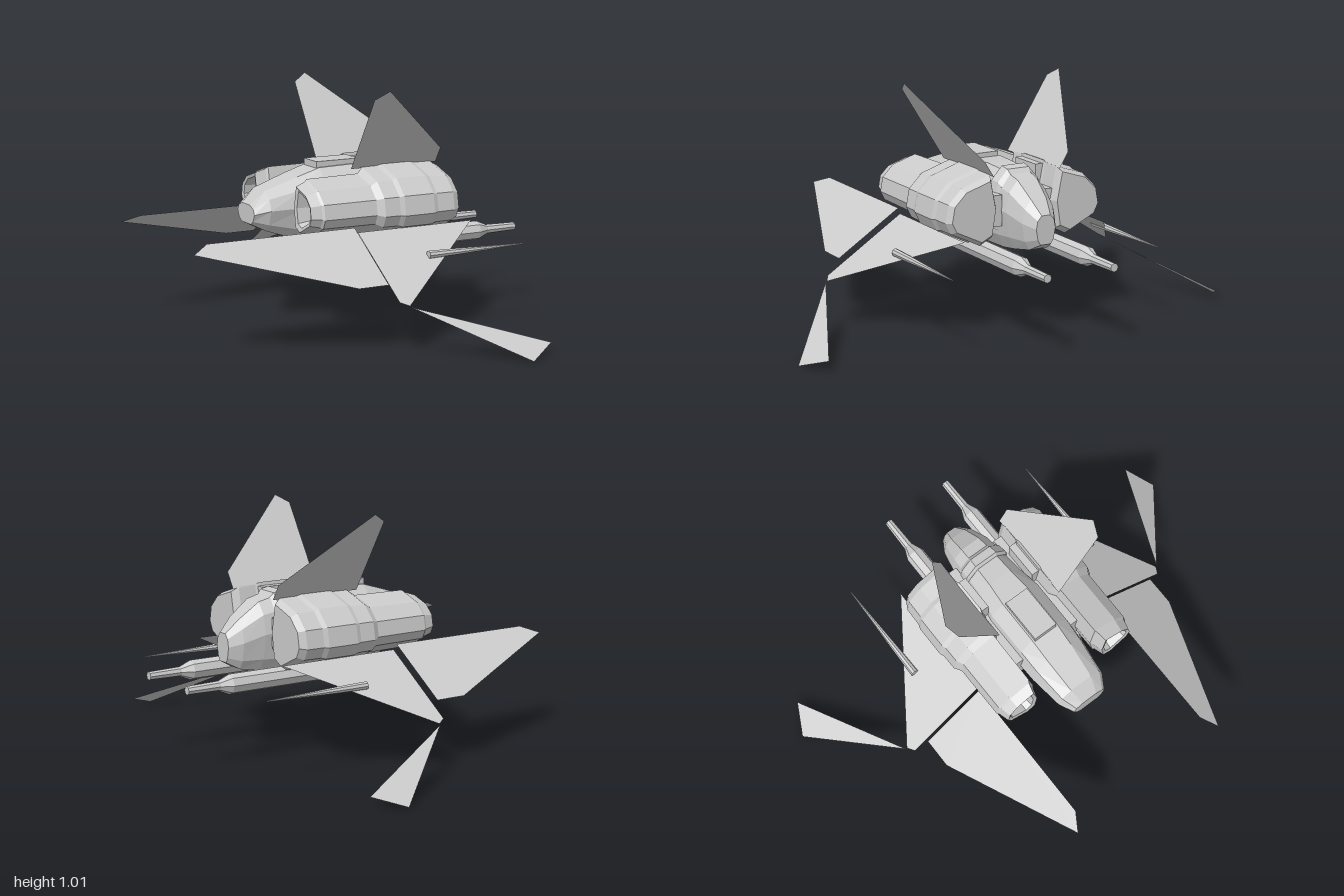
import * as THREE from 'three';

const solid = new THREE.MeshStandardMaterial({ color: 0xcccccc, flatShading: true });
const sheet = new THREE.MeshStandardMaterial({ color: 0xcccccc, flatShading: true, side: THREE.DoubleSide });

// Skin over rings of [x, y, z] points, closed at both ends; side -1 mirrors in z
function loft(rings, side = 1) {
  const n = rings[0].length;
  const pos = [];
  const index = [];
  const tri = (a, b, c) => (side > 0 ? index.push(a, b, c) : index.push(a, c, b));
  rings.forEach((ring) => ring.forEach(([x, y, z]) => pos.push(x, y, z * side)));
  for (let r = 0; r < rings.length - 1; r++) {
    for (let i = 0; i < n; i++) {
      const j = (i + 1) % n;
      const a = r * n + i, b = r * n + j;
      tri(a, b, a + n);
      tri(b, b + n, a + n);
    }
  }
  const last = (rings.length - 1) * n;
  for (let i = 1; i < n - 1; i++) {
    tri(0, i + 1, i);
    tri(last, last + i, last + i + 1);
  }
  const geo = new THREE.BufferGeometry();
  geo.setAttribute('position', new THREE.Float32BufferAttribute(pos, 3));
  geo.setIndex(index);
  geo.computeVertexNormals();
  return geo;
}

// Flat plate from corner points [x, y, z]
function plate(corners, side) {
  const geo = new THREE.BufferGeometry();
  const index = [];
  for (let i = 1; i < corners.length - 1; i++) index.push(0, i, i + 1);
  geo.setAttribute('position', new THREE.Float32BufferAttribute(corners.flatMap(([x, y, z]) => [x, y, z * side]), 3));
  geo.setIndex(index);
  geo.computeVertexNormals();
  return geo;
}

// Turned part along x from [x, radius] pairs
function turned(profile, sides, y, z) {
  const geo = new THREE.LatheGeometry(profile.map(([x, r]) => new THREE.Vector2(r, x)), sides);
  return geo.rotateZ(-Math.PI / 2).translate(0, y, z);
}

function box(x0, x1, y0, y1, z0, z1) {
  return new THREE.BoxGeometry(x1 - x0, y1 - y0, z1 - z0)
    .translate((x0 + x1) / 2, (y0 + y1) / 2, (z0 + z1) / 2);
}

// Fuselage section: [height fraction, width fraction], top to bottom
const half = [[1, 0.45], [0.83, 0.85], [0.55, 1], [0.18, 0.82], [0, 0.55]];
const bodySection = [...half, ...half.map(([v, u]) => [v, -u]).reverse()];
const bodyRing = ([x, w, y0, y1]) => bodySection.map(([v, u]) => [x, y0 + v * (y1 - y0), u * w]);

// Engine pod section [y, z], scaled about its middle
const podSection = [
  [0.68, 0.15], [0.635, 0.29], [0.57, 0.355], [0.49, 0.37],
  [0.44, 0.345], [0.37, 0.2], [0.4, 0.14], [0.53, 0.12],
];
const podRing = ([x, k]) => podSection.map(([y, z]) => [x, 0.53 + (y - 0.53) * k, 0.25 + (z - 0.25) * k]);

export function createModel() {
  const model = new THREE.Group();
  const add = (name, geo, mat = solid) => {
    const mesh = new THREE.Mesh(geo, mat);
    mesh.name = name;
    model.add(mesh);
  };

  // Hull: tail to nose
  add('fuselage', loft([
    [-0.41, 0.08, 0.45, 0.53], [-0.35, 0.115, 0.42, 0.585], [-0.2, 0.135, 0.37, 0.635],
    [-0.1, 0.14, 0.35, 0.665], [0.1, 0.14, 0.345, 0.67], [0.2, 0.12, 0.345, 0.67],
    [0.33, 0.108, 0.345, 0.66], [0.41, 0.1, 0.355, 0.64], [0.5, 0.078, 0.37, 0.575],
    [0.555, 0.045, 0.4, 0.52],
  ].map(bodyRing)));
  add('spineHatch', box(-0.11, 0.09, 0.64, 0.69, -0.055, 0.055));
  add('canopyCollar', loft([
    [0.29, 0.108, 0.38, 0.665], [0.3, 0.118, 0.37, 0.68], [0.34, 0.113, 0.37, 0.672], [0.36, 0.1, 0.38, 0.65],
  ].map(bodyRing)));

  for (const side of [1, -1]) {
    const label = side > 0 ? 'left' : 'right';
    const mirrorBox = (x0, x1, y0, y1, z0, z1) =>
      box(x0, x1, y0, y1, Math.min(z0 * side, z1 * side), Math.max(z0 * side, z1 * side));

    // Engine: hollow nozzle, rear barrel, wider front cowl with a raised band
    add(label + 'EnginePod', loft([
      [-0.2, 0.4], [-0.27, 0.48], [-0.275, 0.6], [-0.23, 0.7], [-0.22, 0.76],
      [0.02, 0.78], [0.05, 0.93], [0.12, 0.94], [0.14, 1], [0.28, 1],
      [0.3, 0.94], [0.38, 0.93], [0.41, 0.8],
    ].map(podRing), side));

    // Links between engine and fuselage
    add(label + 'EngineMount', mirrorBox(-0.12, 0.38, 0.45, 0.58, 0.1, 0.18));
    add(label + 'MountBlock', mirrorBox(0.13, 0.29, 0.58, 0.665, 0.115, 0.16));

    // Swept plates
    add(label + 'UpperFin', plate([
      [0, 0.665], [0.41, 0.665], [0.41, 0.73], [0.06, 1.01], [0, 0.975],
    ].map(([x, y]) => [x, y, 0.155 + (y - 0.665) * 0.63]), side), sheet);
    add(label + 'RearWing', plate([
      [-0.08, 0.33], [-0.74, 0.33], [-0.815, 0.375], [-0.215, 0.61], [-0.08, 0.61],
    ].map(([x, z]) => [x, 0.455 - (z - 0.33) * 0.645, z]), side), sheet);
    add(label + 'FrontWing', plate([
      [-0.065, 0.33], [0.48, 0.33], [-0.03, 0.69], [-0.065, 0.67],
    ].map(([x, z]) => [x, (1 - z) * 0.648, z]), side), sheet);
    add(label + 'WingTip', plate([
      [-0.03, 0.695], [0.48, 0.93], [0.35, 1],
    ].map(([x, z]) => [x, (1 - z) * 0.648, z]), side), sheet);

    // Guns
    add(label + 'Cannon', turned([
      [-0.14, 0], [-0.14, 0.025], [-0.1, 0.042], [0.62, 0.042], [0.67, 0.021], [0.815, 0.018], [0.815, 0],
    ], 8, 0.345, 0.155 * side));
    add(label + 'WingNeedle', turned([
      [0.18, 0], [0.18, 0.017], [0.32, 0.014], [0.65, 0.002], [0.65, 0],
    ], 8, 0.345, 0.482 * side));
  }
  return model;
}
